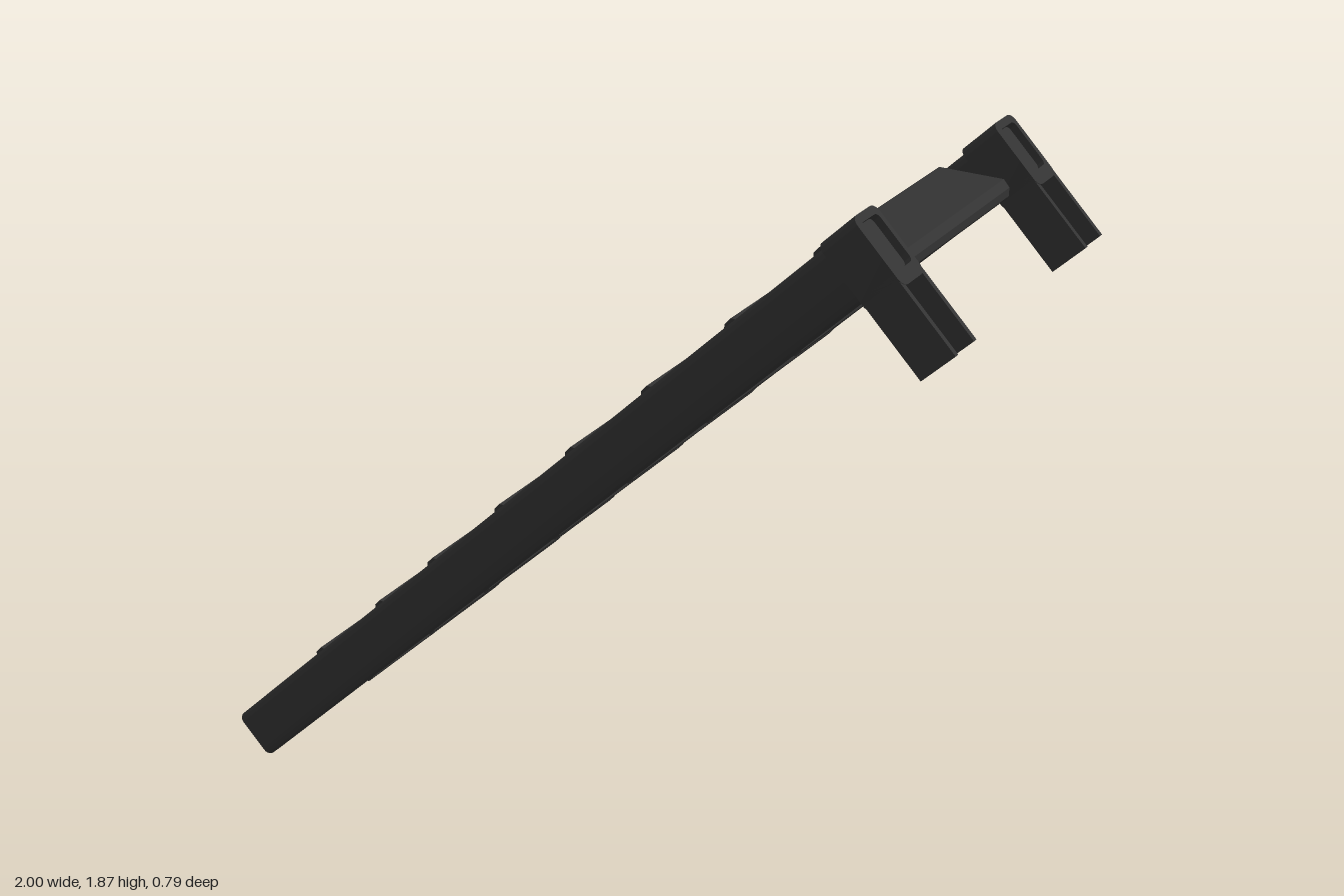
import * as THREE from 'three';
import { toCreasedNormals } from 'three/addons/utils/BufferGeometryUtils.js';

const material = new THREE.MeshStandardMaterial({ color: 0x333333 });

// Rounded rectangle outline, centred on (0, cy)
function roundedRect(w, h, r, cy = 0, Type = THREE.Shape) {
  const s = new Type();
  const x = w / 2, y = h / 2;
  s.absarc(x - r, cy + y - r, r, 0, Math.PI / 2);
  s.absarc(-x + r, cy + y - r, r, Math.PI / 2, Math.PI);
  s.absarc(-x + r, cy - y + r, r, Math.PI, Math.PI * 1.5);
  s.absarc(x - r, cy - y + r, r, Math.PI * 1.5, Math.PI * 2);
  s.closePath();
  return s;
}

function extrude(shape, depth) {
  return new THREE.ExtrudeGeometry(shape, { depth, bevelEnabled: false, curveSegments: 4 });
}

function addMesh(parent, name, geometry) {
  const mesh = new THREE.Mesh(geometry, material);
  mesh.name = name;
  parent.add(mesh);
  return mesh;
}

// Side rail with its hook; local x runs up the slope
function makeSide(name) {
  const side = new THREE.Group();
  side.name = name;

  const rail = extrude(roundedRect(0.08, 0.134, 0.02), 2.485).rotateY(Math.PI / 2);
  addMesh(side, 'rail', toCreasedNormals(rail, 0.6));

  // Collar around the rail top, open so the rail end sits slightly recessed
  const collarShape = roundedRect(0.1, 0.17, 0.02, -0.007);
  collarShape.holes.push(roundedRect(0.074, 0.118, 0.012, 0, THREE.Path));
  const collar = extrude(collarShape, 0.103).rotateY(Math.PI / 2);
  addMesh(side, 'hookCollar', toCreasedNormals(collar, 0.6)).position.x = 2.4;

  // Two thin cheeks reaching down behind the rail
  for (const s of [-1, 1]) {
    const cheek = addMesh(side, 'hookCheek', new THREE.BoxGeometry(0.1, 0.202, 0.012));
    cheek.position.set(2.452, -0.161, s * 0.044);
  }
  return side;
}

// Step: flat tread with bevelled long edges, resting on a round rod
function makeStep() {
  const step = new THREE.Group();
  step.name = 'step';
  const profile = new THREE.Shape([
    [-0.093, 0.0], [-0.08, -0.015], [0.08, -0.015], [0.093, 0.0],
    [0.093, 0.02], [0.078, 0.037], [-0.078, 0.037], [-0.093, 0.02],
  ].map(([x, y]) => new THREE.Vector2(x, y)));
  addMesh(step, 'tread', extrude(profile, 0.58)).position.z = -0.29;
  const rod = new THREE.CylinderGeometry(0.032, 0.032, 0.64, 16).rotateX(Math.PI / 2);
  addMesh(step, 'stepRod', rod).position.y = -0.006;
  return step;
}

export function createModel() {
  const ladder = new THREE.Group();
  ladder.name = 'ladder';

  for (const s of [-1, 1]) {
    const side = makeSide(s > 0 ? 'frontSide' : 'backSide');
    side.position.set(-0.953, 0.047, s * 0.345);
    side.rotation.z = Math.PI / 4;
    ladder.add(side);
  }

  // Steps climb along the slope; the two lowest gaps are closer
  for (const y of [0.298, 0.507, 0.682, 0.892, 1.098, 1.303, 1.512, 1.718]) {
    const step = makeStep();
    step.position.set(y - 0.996, y, 0);
    ladder.add(step);
  }
  return ladder;
}
